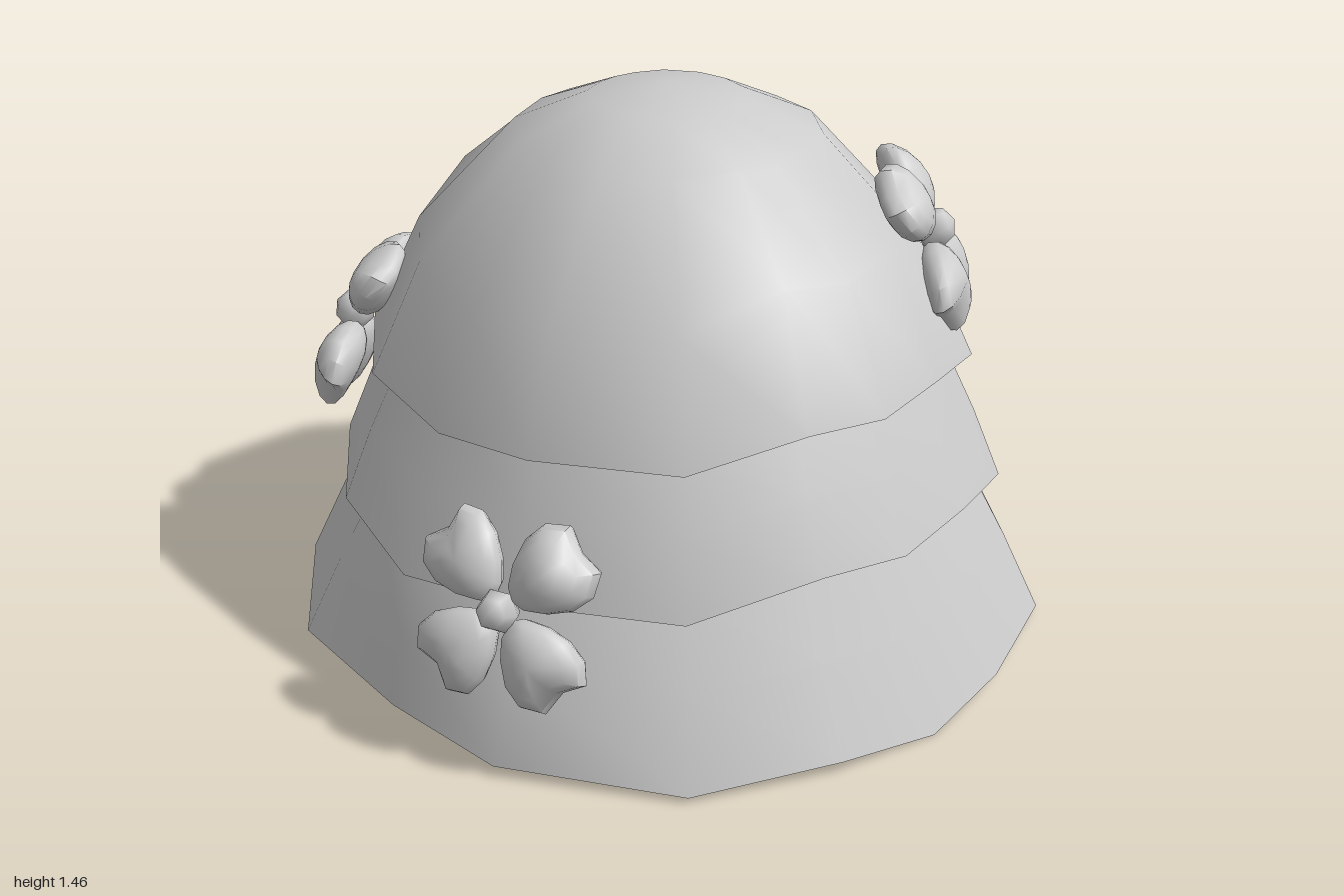
import * as THREE from 'three';
import { toCreasedNormals } from 'three/addons/utils/BufferGeometryUtils.js';

const material = new THREE.MeshStandardMaterial({ color: 0xcccccc });
const CENTRE_X = 0.025;

// One quarter of the faceted outline, from the z axis to the x axis
const ANGLES = [0, 16.5, 39, 66.4, 90];
const WIDTH = [1, 1, 1.025, 1.01];
const WAVE = [0, 0.02, -0.045, -0.045, -0.09]; // drop of the upper hems
const HEM = [0, 0.033, 0.015, 0.03, 0.003]; // scallops of the lowest hem

// The quarter mirrored all the way round: [quarter index, angle]
function outline() {
  const list = [];
  for (let q = 0; q < 4; q++) {
    for (let k = 0; k < 4; k++) {
      const i = q % 2 ? 4 - k : k;
      const a = q % 2 ? 90 - ANGLES[i] : ANGLES[i];
      list.push([i, THREE.MathUtils.degToRad(q * 90 + a)]);
    }
  }
  return list;
}

// Rows of [radius, height, wave strength, scallop strength, x stretch]
const PROFILE = [
  // crown
  [0, 1.455, 0, 0, 1],
  [0.2, 1.425, 0, 0, 1],
  [0.39, 1.345, 0.1, 0, 1],
  [0.65, 1.11, 1.3, 0, 0.98],
  [0.785, 0.8, 0.9, 0, 0.96],
  // middle tier
  [0.72, 0.81, 0.9, 0, 0.96],
  [0.8, 0.64, 0.9, 0, 0.98],
  [0.875, 0.46, 1.05, 0, 1.005],
  // lower tier
  [0.8, 0.47, 1.05, 0, 1.02],
  [0.9, 0.24, 0.3, 0.3, 1],
  [1, 0, 0, 1, 0.935],
  // rim and hollow inside
  [0.87, 0.02, 0, 1, 0.935],
  [0.77, 0.43, 0.9, 0, 0.97],
  [0.68, 0.78, 0.9, 0, 0.95],
  [0.55, 1.1, 1, 0, 0.97],
  [0.34, 1.3, 0.1, 0, 1],
  [0, 1.4, 0, 0, 1],
];

function shellGeometry() {
  const ring = outline();
  const n = ring.length;
  const pos = [];
  const index = [];
  PROFILE.forEach(([r, y, wave, scallop, stretch], row) => {
    ring.forEach(([i, a]) => {
      const radius = r * (i === 4 ? stretch : WIDTH[i]);
      pos.push(Math.sin(a) * radius + CENTRE_X, y + WAVE[i] * wave + HEM[i] * scallop, Math.cos(a) * radius);
    });
    if (row === 0) return;
    for (let k = 0; k < n; k++) {
      const a = (row - 1) * n + k;
      const b = (row - 1) * n + (k + 1) % n;
      const c = a + n;
      const d = b + n;
      if (r > 0) index.push(a, c, d);
      if (PROFILE[row - 1][0] > 0) index.push(a, r > 0 ? d : c, b);
    }
  });
  const geo = new THREE.BufferGeometry();
  geo.setAttribute('position', new THREE.Float32BufferAttribute(pos, 3));
  geo.setIndex(index);
  return toCreasedNormals(geo, 0.9);
}

// Heart-shaped puffy petal reaching along +y
function petalGeometry() {
  const geo = new THREE.SphereGeometry(1, 12, 8);
  geo.rotateX(Math.PI / 2);
  const p = geo.attributes.position;
  for (let i = 0; i < p.count; i++) {
    const x = p.getX(i);
    const y = p.getY(i);
    const z = p.getZ(i);
    const taper = 0.84 + 0.3 * y;
    const notch = y > 0 ? 0.035 * y * Math.max(0, 1 - Math.abs(x) * 2.5) : 0;
    p.setXYZ(i, x * 0.122 * taper, 0.155 + y * 0.122 - notch, z * 0.06 - 0.03 * y * y * (y > 0 ? 1 : 0));
  }
  geo.deleteAttribute('uv');
  geo.deleteAttribute('normal');
  return toCreasedNormals(geo, 0.95);
}

function flower(name, position, facing, petalAngles, petalGeo) {
  const group = new THREE.Group();
  group.name = name;
  petalAngles.forEach((deg) => {
    const petal = new THREE.Mesh(petalGeo, material);
    petal.name = 'petal';
    petal.rotation.z = THREE.MathUtils.degToRad(deg - 90);
    group.add(petal);
  });
  const heart = new THREE.Mesh(new THREE.SphereGeometry(0.055, 6, 4).rotateX(Math.PI / 2), material);
  heart.name = 'flowerCentre';
  heart.position.z = 0.025;
  group.add(heart);
  group.position.set(...position);
  group.lookAt(new THREE.Vector3(...position).add(new THREE.Vector3(...facing)));
  return group;
}

export function createModel() {
  const model = new THREE.Group();
  model.name = 'tieredDome';

  const shell = new THREE.Mesh(shellGeometry(), material);
  shell.name = 'tieredShell';
  model.add(shell);

  const petal = petalGeometry();
  model.add(
    flower('frontFlower', [0.49, 1.07, 0.48], [0.62, 0.45, 0.62], [130, 37, -53, -138], petal),
    flower('sideFlower', [-0.82, 0.42, 0.36], [-0.9, 0.32, 0.38], [138, 45, -45, -132], petal),
    flower('backFlower', [-0.5, 0.76, -0.65], [-0.56, 0.4, -0.68], [150, 63, -36, -117], petal),
  );
  return model;
}
